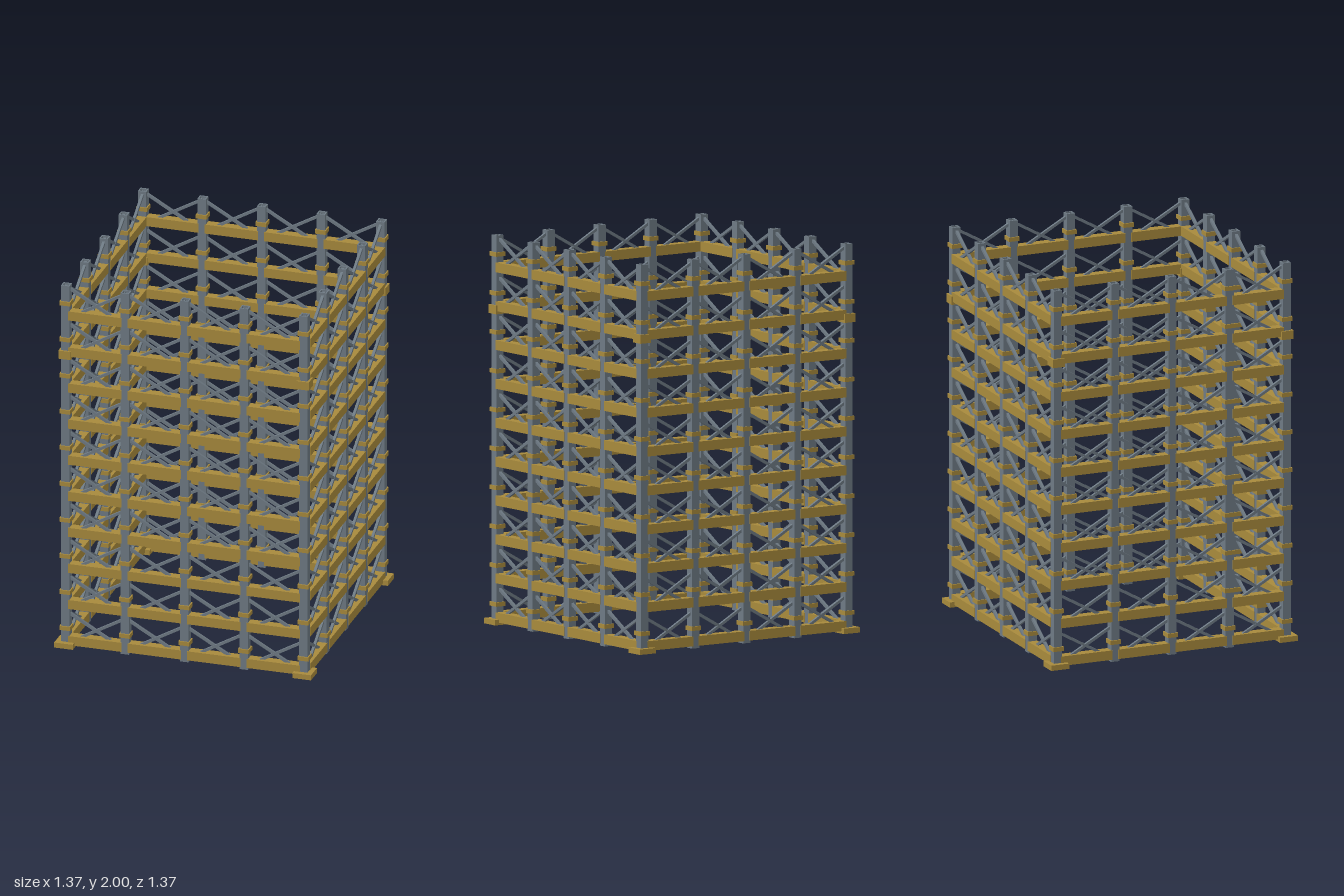
import * as THREE from 'three';

const HALF = 0.637;        // post centre line
const BAY = HALF / 2;      // spacing between posts
const LEVELS = 10, STEP = 0.2;
const POST = 0.045, BORE = 0.031;

// Square tube standing on y = 0
function squareTube(outer, inner, height) {
  const square = (s, Type) => new Type([
    new THREE.Vector2(-s / 2, -s / 2), new THREE.Vector2(s / 2, -s / 2),
    new THREE.Vector2(s / 2, s / 2), new THREE.Vector2(-s / 2, s / 2),
  ]);
  const shape = square(outer, THREE.Shape);
  shape.holes.push(square(inner, THREE.Path));
  return new THREE.ExtrudeGeometry(shape, { depth: height, bevelEnabled: false }).rotateX(-Math.PI / 2);
}

export function createModel() {
  const steel = new THREE.MeshStandardMaterial({ color: 0x6e7a84 });
  steel.name = 'steel grey';
  const ochre = new THREE.MeshStandardMaterial({ color: 0xa88a3c });
  ochre.name = 'ochre';

  const postGeo = squareTube(POST, BORE, 2);
  const collarGeo = squareTube(0.058, POST - 0.002, 0.022);
  const jointGeo = squareTube(0.066, POST - 0.002, 0.045);
  const baseGeo = new THREE.BoxGeometry(0.1, 0.028, 0.1);
  const beamGeo = new THREE.BoxGeometry(0.286, 0.05, 0.05);
  const rise = 0.18;
  const braceGeo = new THREE.BoxGeometry(Math.hypot(BAY, rise), 0.014, 0.014);
  const braceAngle = Math.atan2(rise, BAY);

  const model = new THREE.Group();
  model.name = 'scaffoldTower';

  const add = (parent, name, geo, mat, x, y, z) => {
    const mesh = new THREE.Mesh(geo, mat);
    mesh.name = name;
    mesh.position.set(x, y, z);
    parent.add(mesh);
    return mesh;
  };

  // Four identical walls, each owning its first corner post
  for (let w = 0; w < 4; w++) {
    const wall = new THREE.Group();
    wall.name = ['frontWall', 'leftWall', 'backWall', 'rightWall'][w];
    wall.rotation.y = w * Math.PI / 2;
    model.add(wall);

    for (let i = 0; i < 4; i++) {
      const x = -HALF + i * BAY;
      add(wall, 'post', postGeo, steel, x, 0, HALF);

      // Corner foot and heavy corner joint
      if (i === 0) {
        add(wall, 'basePlate', baseGeo, ochre, x, 0.014, HALF);
        add(wall, 'cornerJoint', jointGeo, ochre, x, 1.597, HALF);
      }

      // Collars, beams and crossed braces at each level
      for (let l = 0; l < LEVELS; l++) {
        const y = l * STEP, mid = x + BAY / 2;
        add(wall, 'collar', collarGeo, ochre, x, y + 0.092, HALF);
        add(wall, 'beam', beamGeo, ochre, mid, y + 0.037, HALF);
        for (const s of [-1, 1]) {
          add(wall, 'brace', braceGeo, steel, mid, y + 0.1, HALF + s * 0.001).rotation.z = s * braceAngle;
        }
      }
    }
  }
  return model;
}
